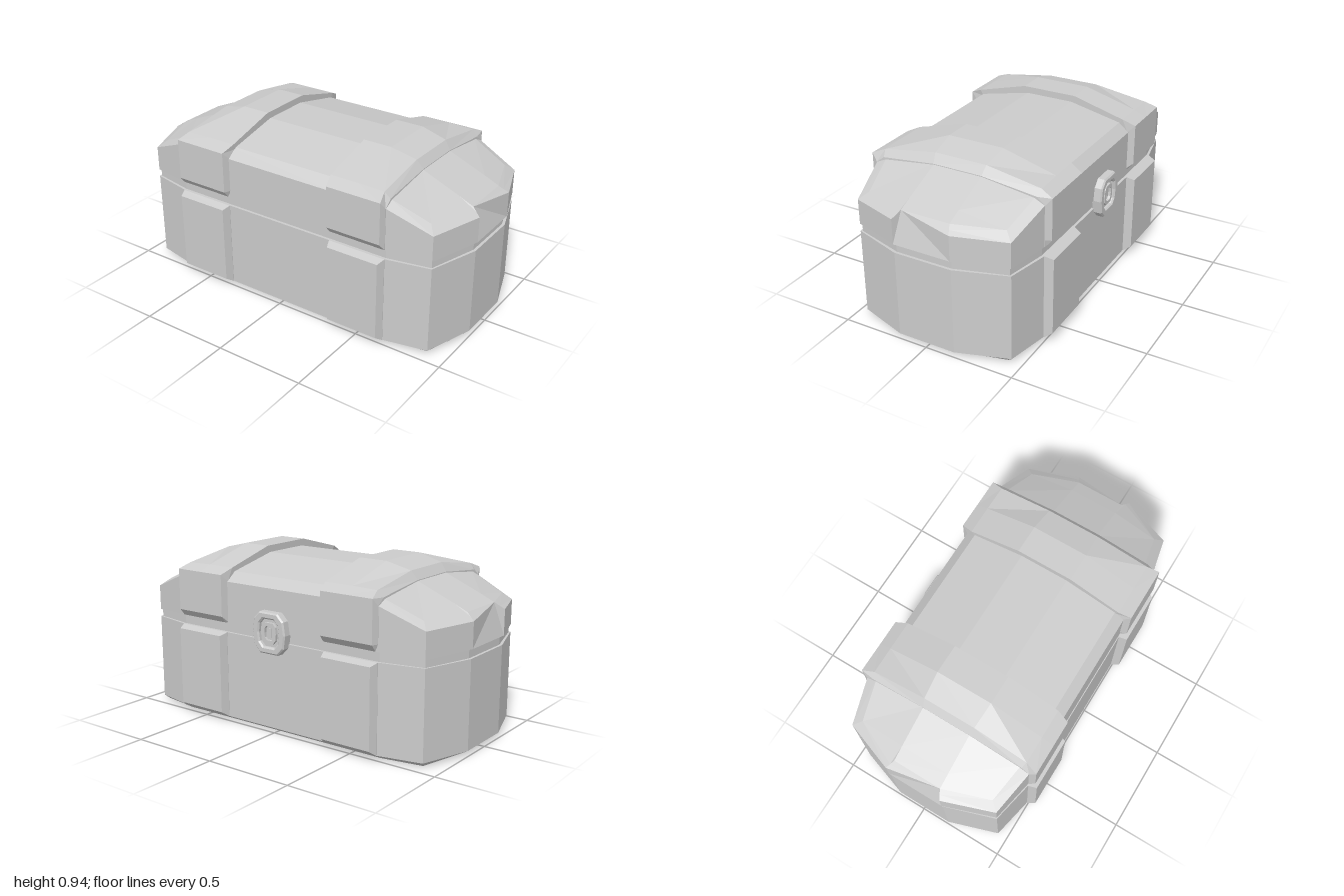
import * as THREE from 'three';

const material = new THREE.MeshStandardMaterial({ color: 0xcccccc, flatShading: true });

// Skin a stack of equal-length rings of [x, y, z] points and close both ends.
function loft(name, rings) {
  const pos = [], n = rings[0].length;
  const tri = (...pts) => pts.forEach((p) => pos.push(...p));
  for (let r = 0; r < rings.length - 1; r++) {
    const a = rings[r], b = rings[r + 1];
    for (let i = 0; i < n; i++) {
      const j = (i + 1) % n;
      tri(a[i], a[j], b[j]);
      tri(a[i], b[j], b[i]);
    }
  }
  const first = rings[0], last = rings[rings.length - 1];
  for (let i = 1; i < n - 1; i++) {
    tri(first[0], first[i + 1], first[i]);
    tri(last[0], last[i], last[i + 1]);
  }
  const geometry = new THREE.BufferGeometry();
  geometry.setAttribute('position', new THREE.Float32BufferAttribute(pos, 3));
  geometry.computeVertexNormals();
  const mesh = new THREE.Mesh(geometry, material);
  mesh.name = name;
  return mesh;
}

// Twelve-sided plan of the chest at height y, from one quarter, inset by d.
function plan(y, d) {
  const q = [[0.66, 0.495 - d], [0.9 - d * 0.4, 0.445 - d * 0.7], [0.993 - d, 0.165 - d * 0.3]];
  const flip = (list, sx, sz) => list.map(([x, z]) => [x * sx, y, z * sz]);
  const back = [...q].reverse();
  return [...flip(q, 1, 1), ...flip(back, 1, -1), ...flip(q, -1, -1), ...flip(back, -1, 1)];
}

// Cross-section of the lid: front half from ridge to bottom, mirrored to the back.
const section = (half) => [...half, ...[...half].reverse().map(([x, y, z]) => [x, y, -z])];
const mirrorX = (half) => half.map(([x, y, z]) => [-x, y, z]);

// Plate with bevelled edges, lying in the xy plane and facing +z.
function bevelPlate(name, x0, x1, y0, y1, z0, z1, b) {
  const rect = (i, iy, z) => [[x0 + i, y0 + iy, z], [x1 - i, y0 + iy, z], [x1 - i, y1 - i, z], [x0 + i, y1 - i, z]];
  return loft(name, [rect(0, 0, z0), rect(0, 0, z0 + 0.03), rect(b, b * 1.9, z1)]);
}

// Rounded eight-sided outline for the lock parts.
function lockOutline(w, h) {
  return [[w * 0.55, -h], [w * 0.9, -h * 0.65], [w, 0], [w * 0.9, h * 0.65], [w * 0.55, h],
    [-w * 0.55, h], [-w * 0.9, h * 0.65], [-w, 0], [-w * 0.9, -h * 0.65], [-w * 0.55, -h]]
    .map(([x, y]) => new THREE.Vector2(x, y));
}

function lockPart(name, outer, inner, depth, bevel = 0) {
  const shape = new THREE.Shape(lockOutline(...outer));
  if (inner) shape.holes.push(new THREE.Path(lockOutline(...inner)));
  const geometry = new THREE.ExtrudeGeometry(shape, {
    depth: depth - bevel, bevelEnabled: bevel > 0, bevelThickness: bevel,
    bevelSize: bevel, bevelOffset: -bevel, bevelSegments: 1,
  });
  const mesh = new THREE.Mesh(geometry, material);
  mesh.name = name;
  return mesh;
}

export function createModel() {
  const model = new THREE.Group();
  model.name = 'chest';

  // Lower box with chamfered foot, and the recessed band under the lid
  model.add(loft('base', [plan(0, 0.04), plan(0.025, 0), plan(0.508, 0)]));
  model.add(loft('seamBand', [plan(0.48, 0.015), plan(0.58, 0.015)]));

  // Lid: half-profiles from the end towards the middle
  const lidHalves = [
    [[0.95, 0.735, 0.14], [0.975, 0.717, 0.152], [1, 0.70, 0.165], [1, 0.56, 0.165]],
    [[0.87, 0.77, 0.14], [0.86, 0.728, 0.40], [0.9, 0.69, 0.445], [0.9, 0.55, 0.445]],
    [[0.65, 0.86, 0.14], [0.65, 0.82, 0.44], [0.66, 0.79, 0.495], [0.66, 0.56, 0.495]],
    [[0.4, 0.905, 0.14], [0.4, 0.84, 0.44], [0.4, 0.79, 0.495], [0.4, 0.56, 0.495]],
  ];
  model.add(loft('lid', [
    ...lidHalves.map((h) => section(mirrorX(h))),
    ...[...lidHalves].reverse().map(section),
  ]));

  // Lid straps: raised bands with bevelled rims
  const strapHalves = [
    [[0.315, 0.89, 0.15], [0.315, 0.83, 0.44], [0.32, 0.79, 0.49], [0.32, 0.6, 0.49], [0.32, 0.563, 0.49]],
    [[0.315, 0.943, 0.16], [0.315, 0.862, 0.46], [0.335, 0.83, 0.53], [0.335, 0.6, 0.53], [0.335, 0.563, 0.5]],
    [[0.48, 0.943, 0.16], [0.48, 0.862, 0.46], [0.48, 0.83, 0.53], [0.48, 0.6, 0.53], [0.48, 0.563, 0.5]],
    [[0.625, 0.907, 0.15], [0.63, 0.858, 0.46], [0.65, 0.83, 0.53], [0.65, 0.6, 0.53], [0.65, 0.563, 0.5]],
    [[0.66, 0.86, 0.14], [0.66, 0.825, 0.45], [0.662, 0.79, 0.497], [0.662, 0.6, 0.497], [0.662, 0.563, 0.497]],
  ];
  for (const side of [1, -1]) {
    const label = side > 0 ? 'left' : 'right';
    const strap = loft(label + 'LidStrap', strapHalves.map(section));
    strap.scale.x = side;
    model.add(strap);

    // Base straps on the front and back walls
    for (const face of [1, -1]) {
      const plate = bevelPlate(label + (face > 0 ? 'Front' : 'Back') + 'BaseStrap', 0.33, 0.662, 0.025, 0.508, 0.467, 0.54, 0.016);
      plate.scale.set(side, 1, face);
      model.add(plate);
    }
  }

  // Lock on the back wall: rim, sunken plate, inner ring and keyhole bar
  const lock = new THREE.Group();
  lock.name = 'lock';
  const bar = new THREE.Mesh(new THREE.BoxGeometry(0.014, 0.05, 0.036), material);
  bar.name = 'keyholeBar';
  bar.position.z = 0.018;
  lock.add(
    lockPart('lockRim', [0.11, 0.112], [0.068, 0.075], 0.052, 0.008),
    lockPart('lockPlate', [0.08, 0.085], null, 0.03),
    lockPart('lockRing', [0.048, 0.056], [0.03, 0.038], 0.045),
    bar,
  );
  lock.position.set(0, 0.56, -0.488);
  lock.rotation.y = Math.PI;
  model.add(lock);

  return model;
}
